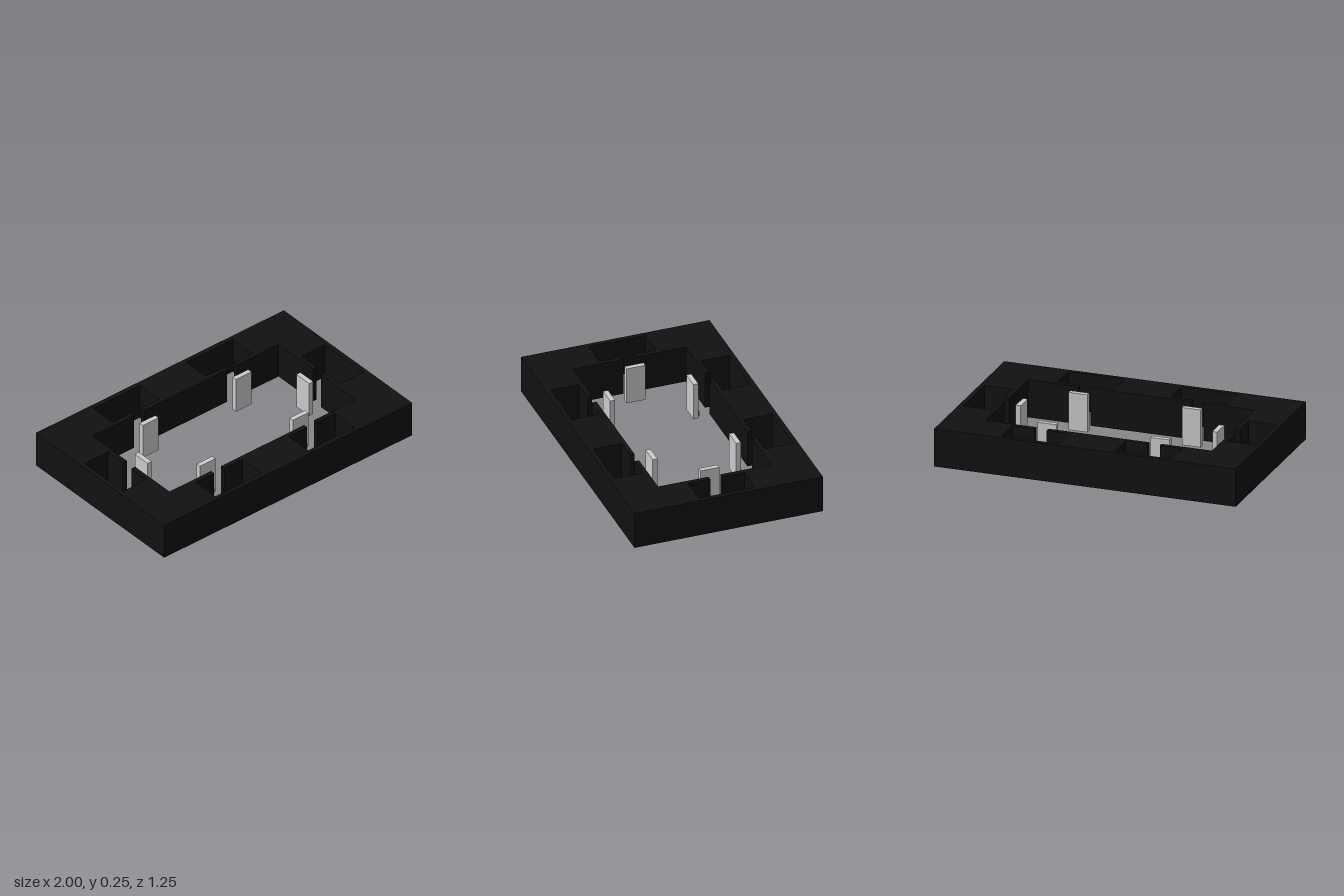
import * as THREE from 'three';

const H = 0.25;          // wall height
const X = 0.75, Z = 0.375; // half size of the inner court
const DOOR = 0.04, CELL = 0.1875; // half widths of doorway and cell

const black = new THREE.MeshStandardMaterial({ color: 0x111111 });
const grey = new THREE.MeshStandardMaterial({ color: 0xcccccc });
const orange = new THREE.MeshStandardMaterial({ color: 0xe64a19 });

// Each alcove: the doorway's centre on the court wall and its outward direction
const alcoves = [
  [-0.375, -Z, 0, -1], [0.375, -Z, 0, -1], [X, 0, 1, 0],
  [0.375, Z, 0, 1], [-0.375, Z, 0, 1], [-X, 0, -1, 0],
];

// Outline of one alcove: through the doorway, around the cell and back
function alcoveOutline([cx, cz, ox, oz]) {
  const profile = [
    [-DOOR, 0], [-DOOR, 0.031], [-CELL, 0.031], [-CELL, 0.219],
    [CELL, 0.219], [CELL, 0.031], [DOOR, 0.031], [DOOR, 0],
  ];
  return profile.map(([t, d]) => new THREE.Vector2(cx - oz * t + ox * d, cz + ox * t + oz * d));
}

function addBox(parent, name, material, size, position) {
  const mesh = new THREE.Mesh(new THREE.BoxGeometry(...size), material);
  mesh.name = name;
  mesh.position.set(...position);
  parent.add(mesh);
}

export function createModel() {
  const model = new THREE.Group();
  model.name = 'courtWithCells';

  // Wall block, with court, doorways and cells cut through as one opening
  const block = new THREE.Shape([[-1, -0.625], [1, -0.625], [1, 0.625], [-1, 0.625]]
    .map(p => new THREE.Vector2(...p)));
  const corners = [[-X, -Z], [X, -Z], [X, Z], [-X, Z]].map(p => new THREE.Vector2(...p));
  const [a, b, c, d, e, f] = alcoves.map(alcoveOutline);
  block.holes.push(new THREE.Path([
    corners[0], ...a, ...b, corners[1], ...c, corners[2], ...d, ...e, corners[3], ...f,
  ]));
  const wallGeometry = new THREE.ExtrudeGeometry(block, { depth: H, bevelEnabled: false });
  wallGeometry.rotateX(-Math.PI / 2);
  const walls = new THREE.Mesh(wallGeometry, black);
  walls.name = 'walls';
  model.add(walls);

  // A free-standing screen before each doorway, with a strip at the foot of its outer side
  for (const [cx, cz, ox, oz] of alcoves) {
    const screen = new THREE.Group();
    screen.name = 'screen';
    addBox(screen, 'panel', grey, [0.125, H, 0.033], [0, H / 2, -0.0985]);
    addBox(screen, 'footStrip', orange, [0.085, 0.031, 0.0155], [0, 0.0155, -0.0743]);
    screen.position.set(cx, 0, cz);
    screen.rotation.y = Math.atan2(ox, oz);
    model.add(screen);
  }
  return model;
}
